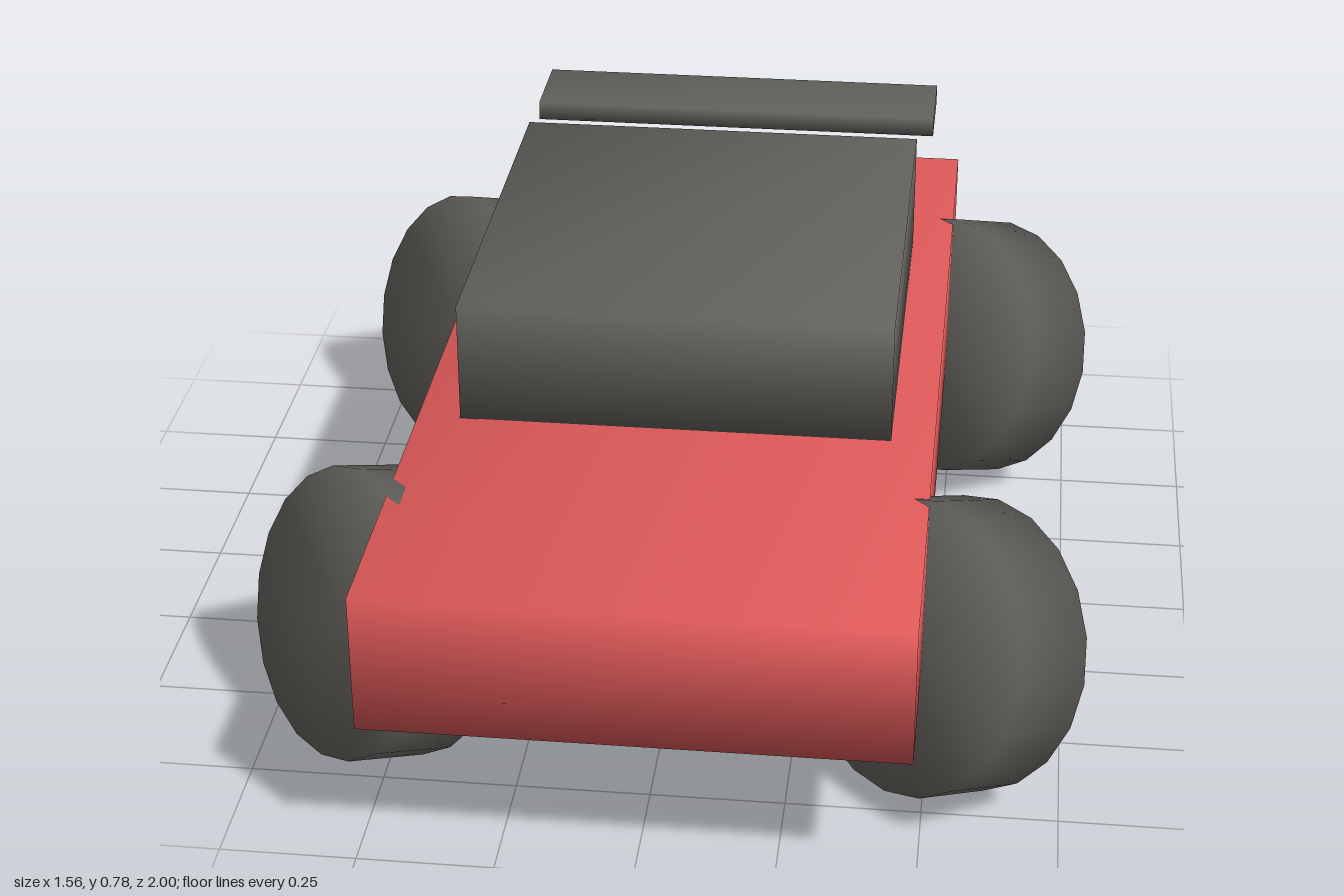
import * as THREE from 'three';
import { mergeVertices } from 'three/addons/utils/BufferGeometryUtils.js';

// Share corner vertices so the shading runs smoothly over every edge
function smooth(geometry) {
  geometry.deleteAttribute('normal');
  geometry.deleteAttribute('uv');
  const merged = mergeVertices(geometry, 1e-4);
  merged.computeVertexNormals();
  return merged;
}

export function createModel() {
  const car = new THREE.Group();
  car.name = 'car';
  const red = new THREE.MeshStandardMaterial({ color: 0xdc5858 });
  red.name = 'red paint';
  const grey = new THREE.MeshStandardMaterial({ color: 0x62605b });
  grey.name = 'dark grey';

  // Box given by its minimum and maximum corners
  function addBox(name, material, [x0, y0, z0], [x1, y1, z1]) {
    const mesh = new THREE.Mesh(smooth(new THREE.BoxGeometry(x1 - x0, y1 - y0, z1 - z0)), material);
    mesh.position.set((x0 + x1) / 2, (y0 + y1) / 2, (z0 + z1) / 2);
    mesh.name = name;
    car.add(mesh);
  }

  addBox('body', red, [-0.488, 0.285, -0.957], [0.488, 0.553, 1]);
  addBox('cabin', grey, [-0.407, 0.553, -0.522], [0.407, 0.787, 0.348]);
  addBox('spoiler', grey, [-0.433, 0.67, -1], [0.433, 0.71, -0.81]);

  // Four wheels, all turned and tilted the same way
  const wheelGeometry = smooth(new THREE.CylinderGeometry(0.272, 0.272, 0.172, 20));
  const tilt = THREE.MathUtils.degToRad(19);
  const axle = new THREE.Vector3(Math.cos(tilt) * Math.SQRT1_2, -Math.sin(tilt), -Math.cos(tilt) * Math.SQRT1_2);
  for (const [end, z] of [['front', 0.619], ['rear', -0.576]]) {
    for (const [side, x] of [['Left', 0.522], ['Right', -0.522]]) {
      const wheel = new THREE.Mesh(wheelGeometry, grey);
      wheel.quaternion.setFromUnitVectors(new THREE.Vector3(0, 1, 0), axle);
      wheel.position.set(x, 0.285, z);
      wheel.name = end + side + 'Wheel';
      car.add(wheel);
    }
  }
  return car;
}
